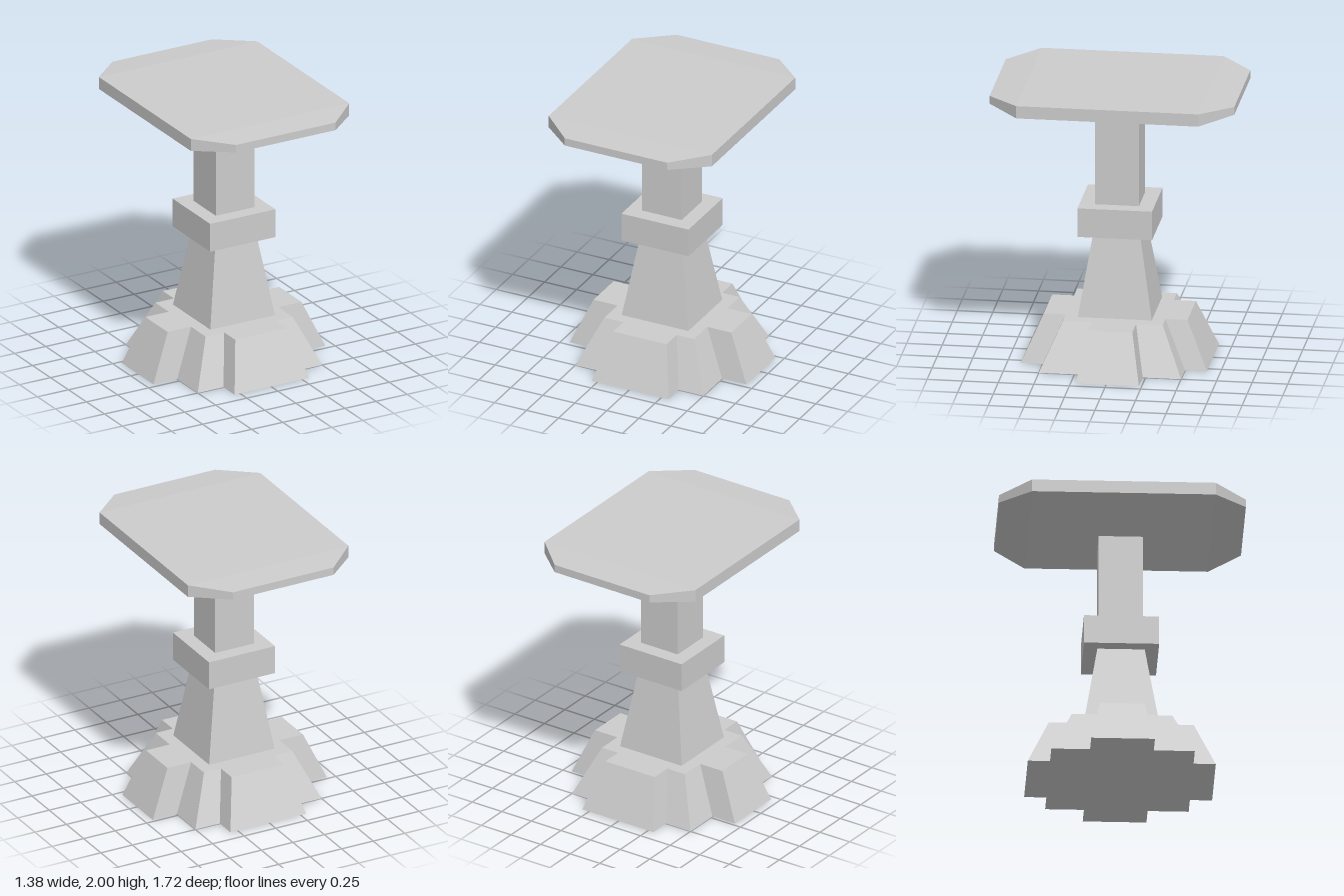
import * as THREE from 'three';

const grey = new THREE.MeshStandardMaterial({ color: 0xcccccc, flatShading: true });

// Joins rings of [x, y, z] points from bottom to top (anticlockwise seen from above) and caps both ends.
function loft(name, rings) {
  const n = rings[0].length;
  const pos = [];
  const tri = (a, b, c) => pos.push(...a, ...b, ...c);
  for (let r = 0; r < rings.length - 1; r++) {
    const low = rings[r], high = rings[r + 1];
    for (let i = 0; i < n; i++) {
      const j = (i + 1) % n;
      tri(low[i], low[j], high[j]);
      tri(low[i], high[j], high[i]);
    }
  }
  const cap = (ring, up) => {
    const flat = ring.map(([x, , z]) => new THREE.Vector2(x, -z));
    for (const [a, b, c] of THREE.ShapeUtils.triangulateShape(flat, [])) {
      if (up) tri(ring[a], ring[b], ring[c]);
      else tri(ring[a], ring[c], ring[b]);
    }
  };
  cap(rings[0], false);
  cap(rings[rings.length - 1], true);
  const geometry = new THREE.BufferGeometry();
  geometry.setAttribute('position', new THREE.Float32BufferAttribute(pos, 3));
  geometry.computeVertexNormals();
  const mesh = new THREE.Mesh(geometry, grey);
  mesh.name = name;
  return mesh;
}

// Rectangle of half sizes hx, hz at height y
const rect = (hx, hz, y) => [[hx, y, hz], [hx, y, -hz], [-hx, y, -hz], [-hx, y, hz]];

// Stepped cross outline: arms reaching ax and az, a square core of half size c,
// arm half widths wx (front and back arms) and wz (side arms)
function cross(ax, az, c, wx, wz, y) {
  const ox = 0.007, oz = -0.008; // arms sit very slightly off centre
  const l = ox - wx, r = ox + wx, b = oz - wz, f = oz + wz;
  return [
    [ax, f], [ax, b], [c, b], [c, -c], [r, -c],
    [r, -az], [l, -az], [-c, -c, l], [-c, b], [-ax, b],
    [-ax, f], [-c, f], [-c, c], [l, c], [l, az],
    [r, az], [r, c], [c, c], [c, f],
  ].flatMap(([x, z, inner]) => inner === undefined ? [[x, y, z]] : [[inner, y, z], [x, y, z]]);
}

export function createModel() {
  const model = new THREE.Group();
  model.name = 'pedestalTable';

  // Foot with stepped corners
  model.add(loft('foot', [
    cross(0.69, 0.655, 0.5, 0.3, 0.222, 0),
    cross(0.538, 0.505, 0.35, 0.208, 0.155, 0.34),
  ]));

  // Pedestal
  model.add(loft('lowerColumn', [rect(0.26, 0.26, 0.34), rect(0.165, 0.165, 0.93)]));
  model.add(loft('collar', [rect(0.262, 0.262, 0.93), rect(0.262, 0.262, 1.14)]));
  model.add(loft('upperColumn', [rect(0.155, 0.155, 1.14), rect(0.155, 0.155, 1.8)]));

  // Table top: tapered middle with a narrowing leaf at each end
  const top = new THREE.Group();
  top.name = 'tableTop';
  const hx = 0.637, hz = 0.64;
  top.add(loft('middle', [rect(0.155, 0.155, 1.8), rect(hx, hz, 1.91), rect(hx, hz, 2)]));
  for (const s of [1, -1]) {
    const leaf = (yInner, yOuter) => [
      [s * hx, yInner, s * hz], [-s * hx, yInner, s * hz],
      [-s * 0.4, yOuter, s * 0.86], [s * 0.4, yOuter, s * 0.86],
    ];
    top.add(loft(s > 0 ? 'frontLeaf' : 'backLeaf', [leaf(1.91, 1.928), leaf(2, 1.985)]));
  }
  model.add(top);
  return model;
}
